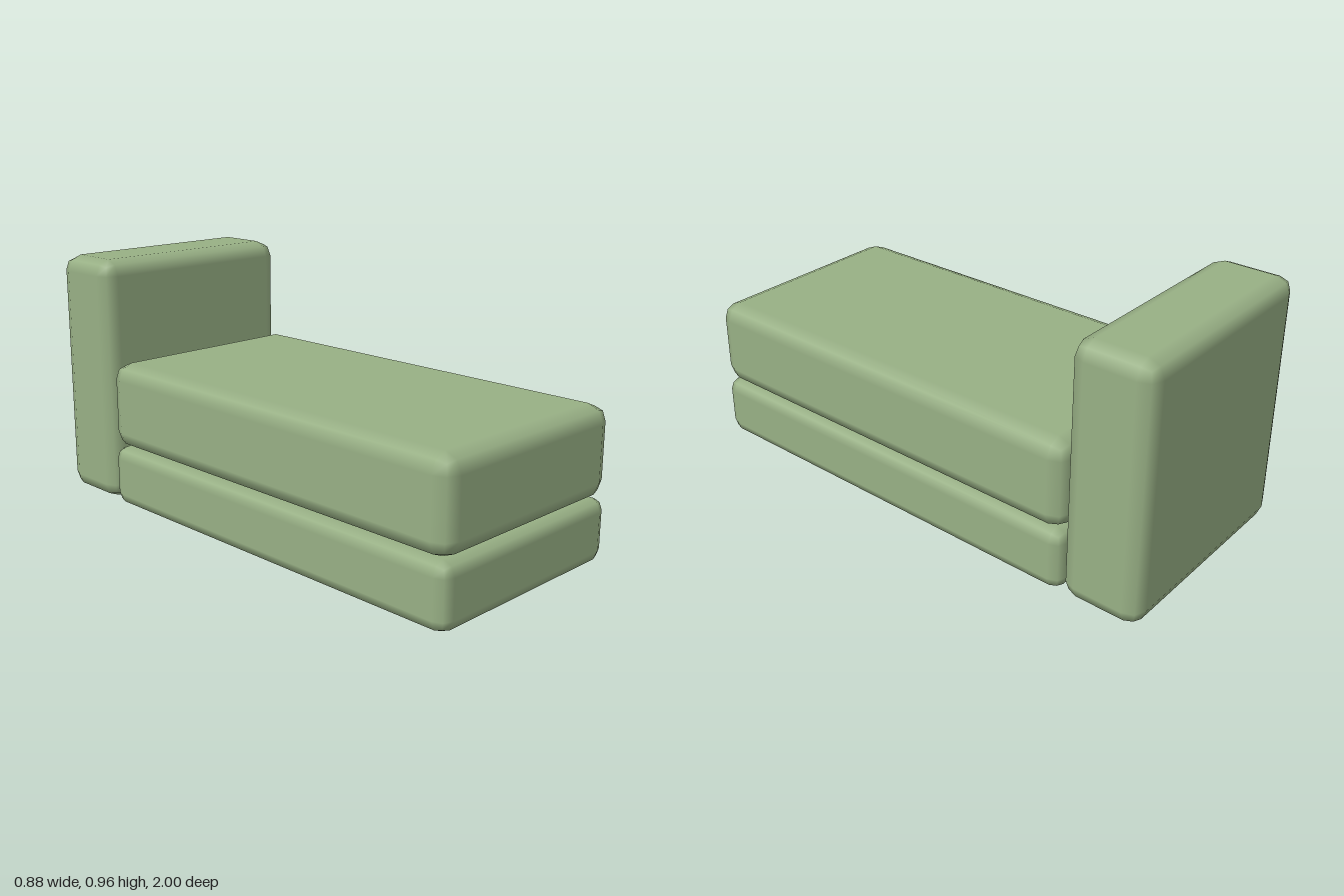
import * as THREE from 'three';
import { RoundedBoxGeometry } from 'three/addons/geometries/RoundedBoxGeometry.js';

const sage = new THREE.MeshStandardMaterial({ color: 0x98b085 });
sage.name = 'sage green';

// Softly bevelled block spanning the given heights and depths
function block(name, y0, y1, z0, z1, radius) {
  const geometry = new RoundedBoxGeometry(0.884, y1 - y0, z1 - z0, 1, radius);
  const mesh = new THREE.Mesh(geometry, sage);
  mesh.name = name;
  mesh.position.set(0, (y0 + y1) / 2, (z0 + z1) / 2);
  return mesh;
}

export function createModel() {
  const bed = new THREE.Group();
  bed.name = 'bed';
  bed.add(
    block('base', 0, 0.238, -0.692, 1, 0.048),
    block('mattress', 0.238, 0.575, -0.692, 1, 0.064),
    block('headboard', 0.002, 0.964, -1, -0.692, 0.06),
  );
  return bed;
}
